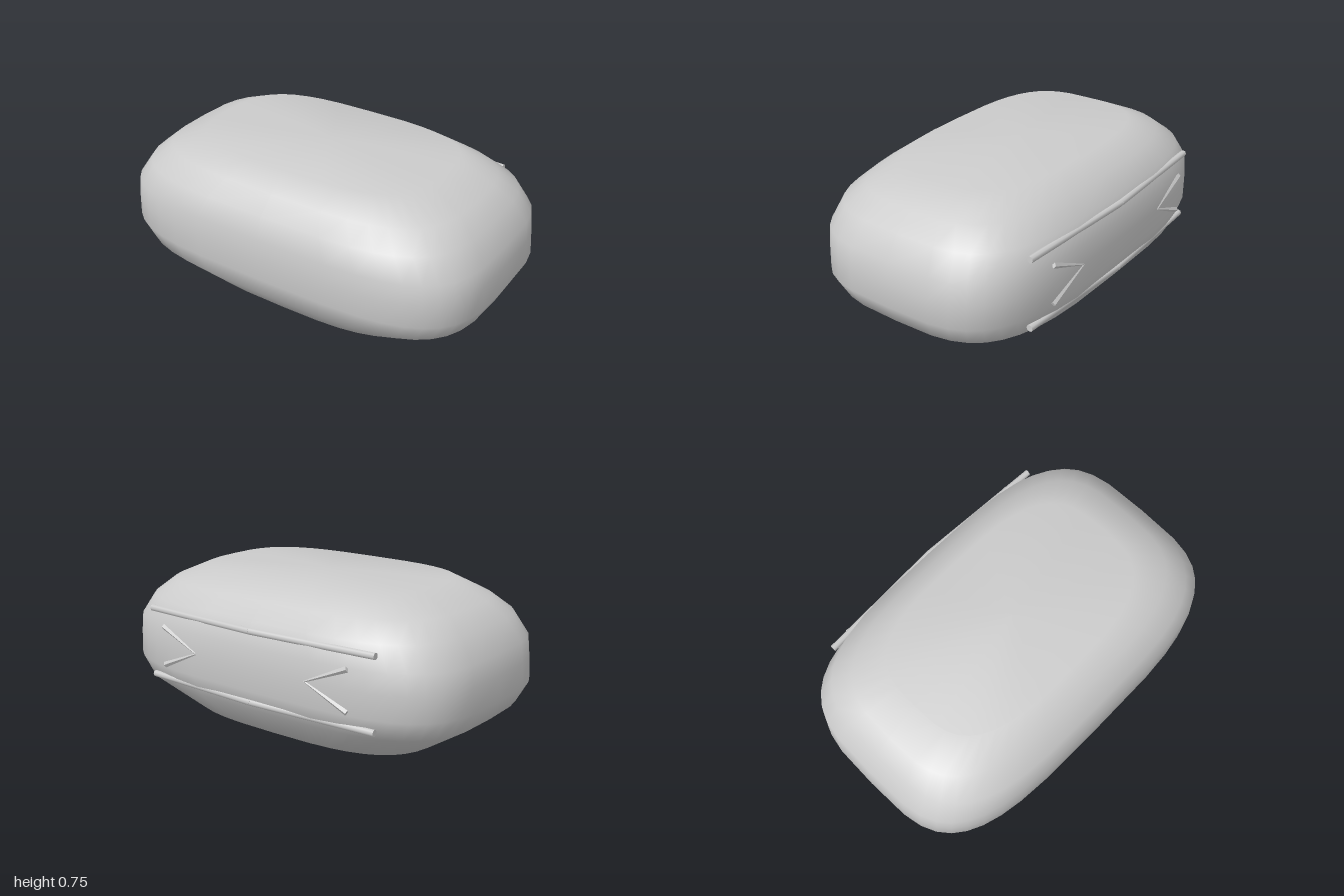
import * as THREE from 'three';

const material = new THREE.MeshStandardMaterial({ color: 0xcccccc });

// Cushion-like body: rounded-rectangle rings stacked upwards and capped
// ring: [y, half width, half depth, squareness]
const rings = [
  [0, 0.71, 0.44, 3.2],
  [0.16, 0.95, 0.585, 3.6],
  [0.26, 1.0, 0.61, 3.8],
  [0.38, 0.99, 0.615, 3.8],
  [0.48, 0.98, 0.61, 3.8],
  [0.59, 0.91, 0.58, 3.6],
  [0.67, 0.82, 0.495, 3.4],
  [0.75, 0.64, 0.39, 3.2],
];

function bodyGeometry(sides = 40) {
  const pos = [], index = [];
  const bend = (v, n) => Math.sign(v) * Math.pow(Math.abs(v), 2 / n);
  for (const [y, w, d, n] of rings) {
    for (let j = 0; j < sides; j++) {
      const t = (j / sides) * Math.PI * 2;
      pos.push(w * bend(Math.cos(t), n), y, d * bend(Math.sin(t), n));
    }
  }
  const bottom = rings.length * sides, top = bottom + 1;
  const last = (rings.length - 1) * sides;
  pos.push(0, 0, 0, 0, 0.75, 0);
  for (let j = 0; j < sides; j++) {
    const k = (j + 1) % sides;
    for (let i = 0; i < rings.length - 1; i++) {
      const a = i * sides + j, b = i * sides + k;
      index.push(a, a + sides, b, b, a + sides, b + sides);
    }
    index.push(bottom, j, k, top, last + k, last + j);
  }
  const g = new THREE.BufferGeometry();
  g.setAttribute('position', new THREE.Float32BufferAttribute(pos, 3));
  g.setIndex(index);
  g.computeVertexNormals();
  return g;
}

// Places a mesh built along y between two points
function between(mesh, a, b) {
  const dir = b.clone().sub(a).normalize();
  mesh.position.copy(a).add(b).multiplyScalar(0.5);
  mesh.quaternion.setFromUnitVectors(new THREE.Vector3(0, 1, 0), dir);
  return mesh;
}

export function createModel() {
  const model = new THREE.Group();
  model.name = 'cushion';

  const body = new THREE.Mesh(bodyGeometry(), material);
  body.name = 'body';
  model.add(body);

  // Two slightly bent rails across the back
  for (const [name, y] of [['upperRail', 0.55], ['lowerRail', 0.2]]) {
    const rail = new THREE.Group();
    rail.name = name;
    for (const s of [-1, 1]) {
      const a = new THREE.Vector3(s * 0.69, y, -0.56), b = new THREE.Vector3(0, y, -0.593);
      const geo = new THREE.CylinderGeometry(0.017, 0.017, a.distanceTo(b), 8);
      const half = between(new THREE.Mesh(geo, material), a, b);
      half.name = 'railHalf';
      rail.add(half);
    }
    model.add(rail);
  }

  // Thin chevrons between the rails, pointing at the middle
  for (const s of [-1, 1]) {
    const chevron = new THREE.Group();
    chevron.name = s > 0 ? 'leftChevron' : 'rightChevron';
    const tip = new THREE.Vector3(s * 0.34, 0.38, -0.613);
    for (const v of [-1, 1]) {
      const end = new THREE.Vector3(s * 0.57, 0.38 + v * 0.1, -0.604);
      const geo = new THREE.CylinderGeometry(0.004, 0.015, tip.distanceTo(end), 4).toNonIndexed();
      geo.scale(1, 1, 0.7);
      geo.computeVertexNormals();
      const arm = between(new THREE.Mesh(geo, material), end, tip);
      arm.name = 'chevronArm';
      chevron.add(arm);
    }
    model.add(chevron);
  }
  return model;
}
